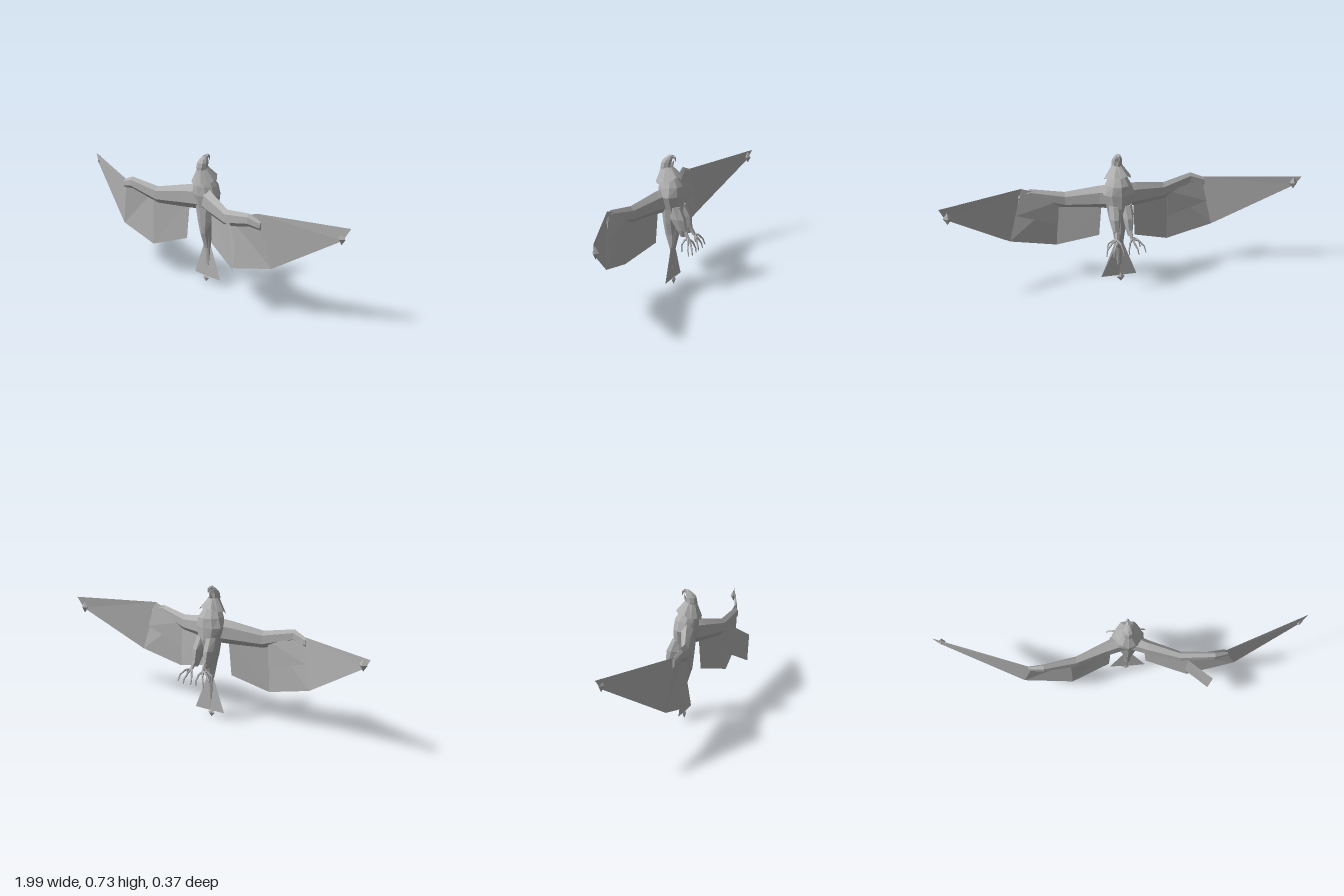
import * as THREE from 'three';

const plumage = new THREE.MeshStandardMaterial({ color: 0xb0b0b0, flatShading: true, side: THREE.DoubleSide });
plumage.name = 'plumage grey';
const MID = 0.03; // the body sits a little off the wingspan's middle

function add(parent, name, geometry) {
  const mesh = new THREE.Mesh(geometry, plumage);
  mesh.name = name;
  parent.add(mesh);
  return mesh;
}

function build(points, index) {
  const g = new THREE.BufferGeometry();
  g.setAttribute('position', new THREE.Float32BufferAttribute(points.flat(), 3));
  g.setIndex(index);
  g.computeVertexNormals();
  return g;
}

// Closed skin through oval rings. axis y: [y, x, z, rx, rz]; axis x: [x, y, z, ry, rz]
function loft(rings, sides, axis = 'y') {
  const pts = [], idx = [];
  for (const [p, a, b, ra, rb] of rings) {
    for (let i = 0; i < sides; i++) {
      const t = (i / sides) * Math.PI * 2, s = Math.sin(t), c = Math.cos(t);
      pts.push(axis === 'y' ? [a + ra * s, p, b + rb * c] : [p, a + ra * c, b + rb * s]);
    }
  }
  const last = (rings.length - 1) * sides;
  for (let r = 0; r < last; r += sides) {
    for (let i = 0; i < sides; i++) {
      const j = (i + 1) % sides;
      idx.push(r + i, r + j, r + sides + j, r + i, r + sides + j, r + sides + i);
    }
  }
  for (let i = 1; i < sides - 1; i++) idx.push(0, i + 1, i, last, last + i, last + i + 1);
  return build(pts, idx);
}

// Thin sheet between two edges with the same number of points
function sheet(upper, lower) {
  const n = upper.length, idx = [];
  for (let i = 0; i < n - 1; i++) idx.push(i, n + i, n + i + 1, i, n + i + 1, i + 1);
  return build([...upper, ...lower], idx);
}

// Chain of tapering bones through a few points
function bones(parent, name, points, r0, r1) {
  const group = new THREE.Group();
  group.name = name;
  const n = points.length - 1;
  for (let i = 0; i < n; i++) {
    const a = new THREE.Vector3(...points[i]), b = new THREE.Vector3(...points[i + 1]);
    const d = b.clone().sub(a);
    const r = (k) => r0 + (r1 - r0) * (k / n);
    const m = add(group, name + 'Segment', new THREE.CylinderGeometry(r(i + 1), r(i), d.length(), 5));
    m.position.copy(a).addScaledVector(d, 0.5);
    m.quaternion.setFromUnitVectors(new THREE.Vector3(0, 1, 0), d.normalize());
  }
  parent.add(group);
}

function addBody(bird) {
  add(bird, 'body', loft([
    [0.10, MID, -0.04, 0.012, 0.005], [0.20, MID, -0.038, 0.02, 0.013],
    [0.29, MID, -0.035, 0.032, 0.04], [0.36, MID, -0.033, 0.052, 0.046],
    [0.44, MID, -0.038, 0.068, 0.06], [0.51, MID, -0.03, 0.088, 0.068],
    [0.56, MID, -0.027, 0.07, 0.066], [0.61, MID, -0.015, 0.042, 0.046],
    [0.65, MID, -0.005, 0.03, 0.032],
  ], 10));
  // Pointed neck feathers, longest at the nape
  const upper = [], lower = [];
  for (let i = 0; i <= 12; i++) {
    const t = (i / 12) * Math.PI * 2, s = Math.sin(t), c = Math.cos(t);
    upper.push([MID + 0.026 * s, 0.66, -0.005 + 0.033 * c]);
    lower.push([MID + 0.072 * s, 0.585 - 0.02 * c + (i % 2) * 0.012, -0.015 + 0.07 * c]);
  }
  add(bird, 'neckRuff', sheet(upper, lower));
}

function addHead(bird) {
  add(bird, 'head', loft([
    [0.635, MID, 0, 0.028, 0.032], [0.66, MID, 0.002, 0.03, 0.031],
    [0.685, MID, -0.001, 0.028, 0.029], [0.703, MID, -0.011, 0.021, 0.024],
    [0.718, MID, -0.021, 0.012, 0.014],
  ], 8));
  bones(bird, 'upperBeak', [[MID, 0.71, -0.018], [MID, 0.717, -0.036], [MID, 0.712, -0.05], [MID, 0.692, -0.053]], 0.015, 0.002);
  bones(bird, 'lowerBeak', [[MID, 0.655, -0.022], [MID, 0.675, -0.036], [MID, 0.694, -0.041]], 0.011, 0.003);
}

function addTail(bird) {
  add(bird, 'tailFan', sheet(
    [[0.012, 0.24, -0.038], [MID, 0.245, -0.045], [0.048, 0.24, -0.038]],
    [[-0.068, 0.036, -0.04], [MID, 0.034, -0.037], [0.13, 0.036, -0.04]]));
  const tip = add(bird, 'tailTip', new THREE.OctahedronGeometry(1));
  tip.scale.set(0.022, 0.024, 0.01);
  tip.position.set(0.02, 0.024, -0.039);
}

function addLeg(bird, side, name) {
  const leg = new THREE.Group();
  leg.name = name;
  bird.add(leg);
  const x = (d) => MID + side * d;
  add(leg, 'thigh', loft([
    [0.295, x(0.036), -0.112, 0.01, 0.012], [0.33, x(0.037), -0.105, 0.02, 0.03],
    [0.39, x(0.037), -0.083, 0.03, 0.047], [0.455, x(0.032), -0.06, 0.032, 0.038],
  ], 7));
  bones(leg, 'shank', [[x(0.036), 0.325, -0.125], [x(0.04), 0.288, -0.146]], 0.012, 0.009);
  const toes = [
    [[0.04, 0.288, -0.146], [0.07, 0.28, -0.158], [0.1, 0.25, -0.17], [0.108, 0.215, -0.18]],
    [[0.04, 0.288, -0.146], [0.05, 0.265, -0.165], [0.065, 0.235, -0.178], [0.068, 0.208, -0.183]],
    [[0.04, 0.288, -0.146], [0.025, 0.27, -0.165], [0.015, 0.235, -0.178], [0.018, 0.21, -0.182]],
    [[0.04, 0.288, -0.146], [0.055, 0.285, -0.132], [0.085, 0.265, -0.128], [0.09, 0.228, -0.131]],
  ];
  for (const toe of toes) bones(leg, 'toe', toe.map(([d, y, z]) => [x(d), y, z]), 0.007, 0.003);
}

function addWing(bird, name, w) {
  const wing = new THREE.Group();
  wing.name = name;
  bird.add(wing);
  add(wing, 'wingArm', loft(w.arm, 6, 'x'));
  add(wing, 'flightFeathers', sheet(w.upper, w.lower));
  const tip = add(wing, 'wingTip', new THREE.OctahedronGeometry(0.03));
  tip.position.set(...w.tip);
  tip.scale.set(0.8, 1.1, 0.6);
  // Short overlapping feathers on the inner face, set just off the sheet
  for (let i = 1; i < w.upper.length - 2; i++) {
    const at = (k, f) => w.upper[k].map((v, j) => v + (w.lower[k][j] - v) * f - (j === 2 ? 0.012 : 0));
    add(wing, 'coverts', sheet([at(i, 0.05), at(i + 1, 0.05)], [at(i, 0.55), at(i + 1, 0.5)]));
  }
}

export function createModel() {
  const bird = new THREE.Group();
  bird.name = 'bird';
  addBody(bird);
  addHead(bird);
  addTail(bird);
  addLeg(bird, 1, 'leftLeg');
  addLeg(bird, -1, 'rightLeg');

  addWing(bird, 'rightWing', {
    arm: [
      [-0.5, 0.478, 0.098, 0.024, 0.01], [-0.42, 0.5, 0.107, 0.034, 0.016],
      [-0.25, 0.46, 0.068, 0.047, 0.022], [-0.08, 0.48, 0.012, 0.064, 0.034],
      [0.02, 0.49, -0.02, 0.07, 0.045],
    ],
    upper: [[-0.06, 0.47, 0.005], [-0.28, 0.47, 0.078], [-0.48, 0.505, 0.103], [-1, 0.52, -0.092]],
    lower: [[-0.075, 0.24, 0.015], [-0.28, 0.17, 0.08], [-0.54, 0.23, 0.075], [-0.965, 0.47, -0.078]],
    tip: [-0.955, 0.485, -0.083],
  });
  addWing(bird, 'leftWing', {
    arm: [
      [0.04, 0.49, -0.02, 0.07, 0.045], [0.13, 0.48, 0.02, 0.062, 0.034],
      [0.3, 0.46, 0.077, 0.045, 0.022], [0.48, 0.497, 0.1, 0.034, 0.016],
      [0.55, 0.478, 0.085, 0.024, 0.01],
    ],
    upper: [[0.11, 0.47, 0.01], [0.33, 0.47, 0.083], [0.53, 0.54, 0.092], [0.99, 0.535, -0.08]],
    lower: [[0.125, 0.26, 0.018], [0.345, 0.2, 0.09], [0.605, 0.26, 0.062], [0.955, 0.47, -0.062]],
    tip: [0.945, 0.477, -0.066],
  });
  // Loose feather standing off the back of the left wing
  add(bird, 'looseFeather', sheet(
    [[0.3, 0.44, 0.09], [0.34, 0.465, 0.105], [0.47, 0.378, 0.187]],
    [[0.29, 0.3, 0.085], [0.33, 0.3, 0.1], [0.45, 0.23, 0.184]]));
  return bird;
}
